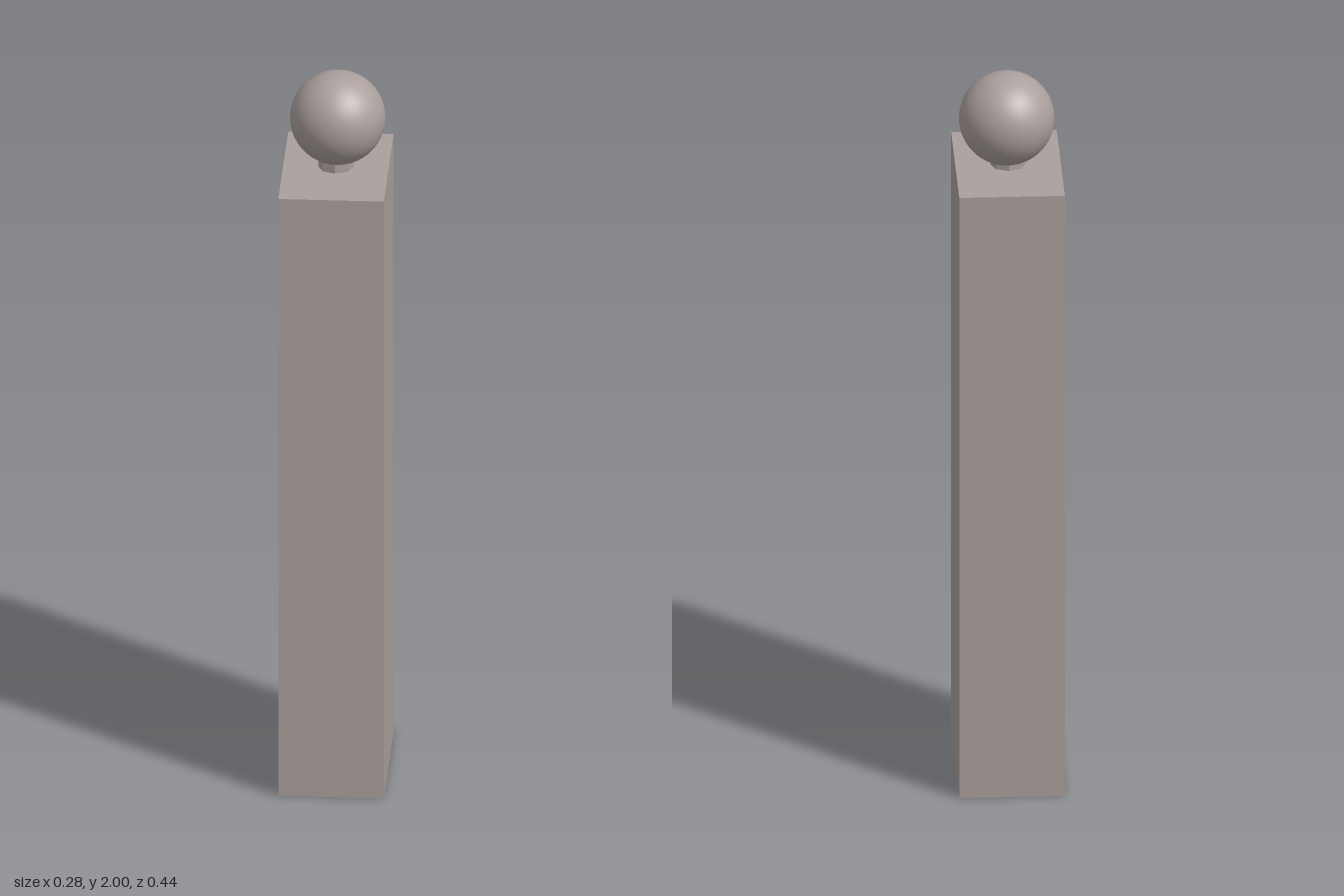
import * as THREE from 'three';

export function createModel() {
  const group = new THREE.Group();
  const color = 0xaa9f9c;
  const smooth = new THREE.MeshStandardMaterial({ color });
  const flat = new THREE.MeshStandardMaterial({ color, flatShading: true });

  const add = (name, geometry, material, x, y, z) => {
    const mesh = new THREE.Mesh(geometry, material);
    mesh.name = name;
    mesh.position.set(x, y, z);
    group.add(mesh);
  };

  // Tall rectangular pillar
  const height = 1.735;
  add('pillar', new THREE.BoxGeometry(0.28, height, 0.436), flat, 0, height / 2, 0);

  // Short octagonal neck, running up into the ball
  add('neck', new THREE.CylinderGeometry(0.047, 0.047, 0.06, 8), flat, 0, height + 0.03, 0);

  // Smooth ball on top, slightly off centre
  const radius = 0.1265;
  add('ball', new THREE.SphereGeometry(radius, 48, 32), smooth, 0.004, 2 - radius, -0.011);

  return group;
}
